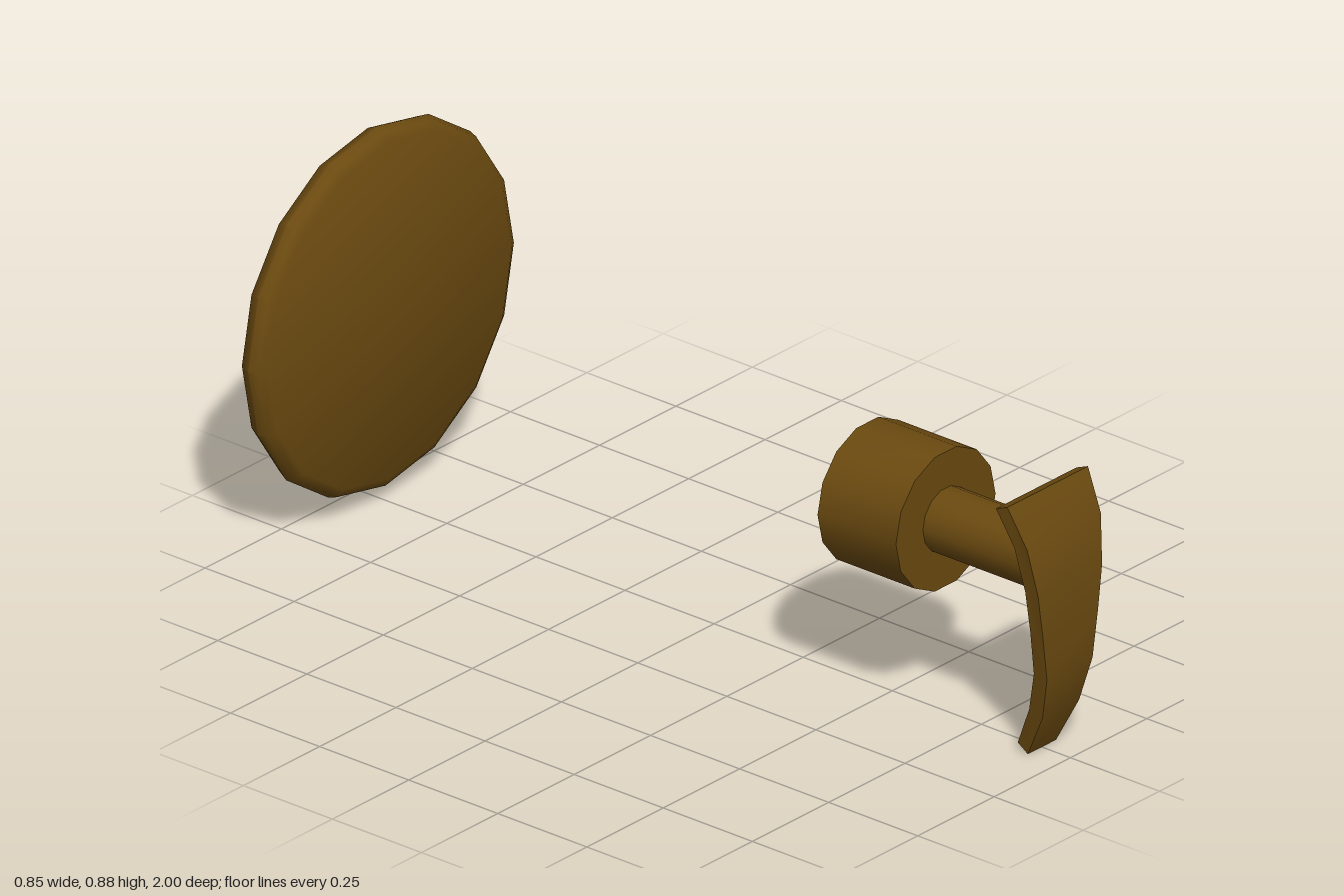
import * as THREE from 'three';
import { toCreasedNormals } from 'three/addons/utils/BufferGeometryUtils.js';

const AXIS_Y = 0.455; // height of the common axis

export function createModel() {
  const group = new THREE.Group();
  const material = new THREE.MeshStandardMaterial({ color: 0x6b4a10 });

  const add = (name, geometry, crease) => {
    const mesh = new THREE.Mesh(toCreasedNormals(geometry, crease), material);
    mesh.name = name;
    group.add(mesh);
  };

  // Turned part along z: profile of [radius, z], from back to front
  const turned = (name, profile, sides, crease) => {
    const points = profile.map(([r, z]) => new THREE.Vector2(r, z));
    const geometry = new THREE.LatheGeometry(points, sides, Math.PI / 2);
    geometry.rotateX(Math.PI / 2).translate(0, AXIS_Y, 0);
    add(name, geometry, crease);
  };

  // Round plate with a softly rounded rim
  turned('disc', [
    [0, -1], [0.365, -1], [0.412, -0.972], [0.427, -0.942],
    [0.42, -0.922], [0.4, -0.91], [0, -0.91],
  ], 16, 0.8);

  // Hub with a blind hole in its back
  turned('hub', [
    [0, 0.57], [0.075, 0.57], [0.075, 0.43], [0.163, 0.43], [0.163, 0.65], [0, 0.65],
  ], 14, 0.6);

  // Shaft joining the hub and the handle
  turned('shaft', [[0, 0.6], [0.075, 0.6], [0.075, 0.968], [0, 0.968]], 14, 0.6);

  // Bowed handle: side profile of [z, y], extruded across x
  const profile = [
    [0.893, 0.02], [0.92, 0], [0.973, 0.107], [0.998, 0.21], [1, 0.32], [0.999, 0.42],
    [0.982, 0.53], [0.936, 0.622], [0.904, 0.609], [0.945, 0.525], [0.963, 0.42],
    [0.965, 0.32], [0.962, 0.215], [0.937, 0.118],
  ].map(([z, y]) => new THREE.Vector2(z, y));
  const handle = new THREE.ExtrudeGeometry(new THREE.Shape(profile), { depth: 2, bevelEnabled: false });
  handle.translate(0, 0, -1).rotateY(-Math.PI / 2);

  // Taper it from the wide top to the narrow tip
  const pos = handle.attributes.position;
  for (let i = 0; i < pos.count; i++) {
    const t = THREE.MathUtils.clamp((pos.getY(i) - 0.01) / 0.6, 0, 1);
    pos.setX(i, pos.getX(i) * THREE.MathUtils.lerp(0.046, 0.132, t));
  }
  add('handle', handle, 0.6);

  return group;
}
